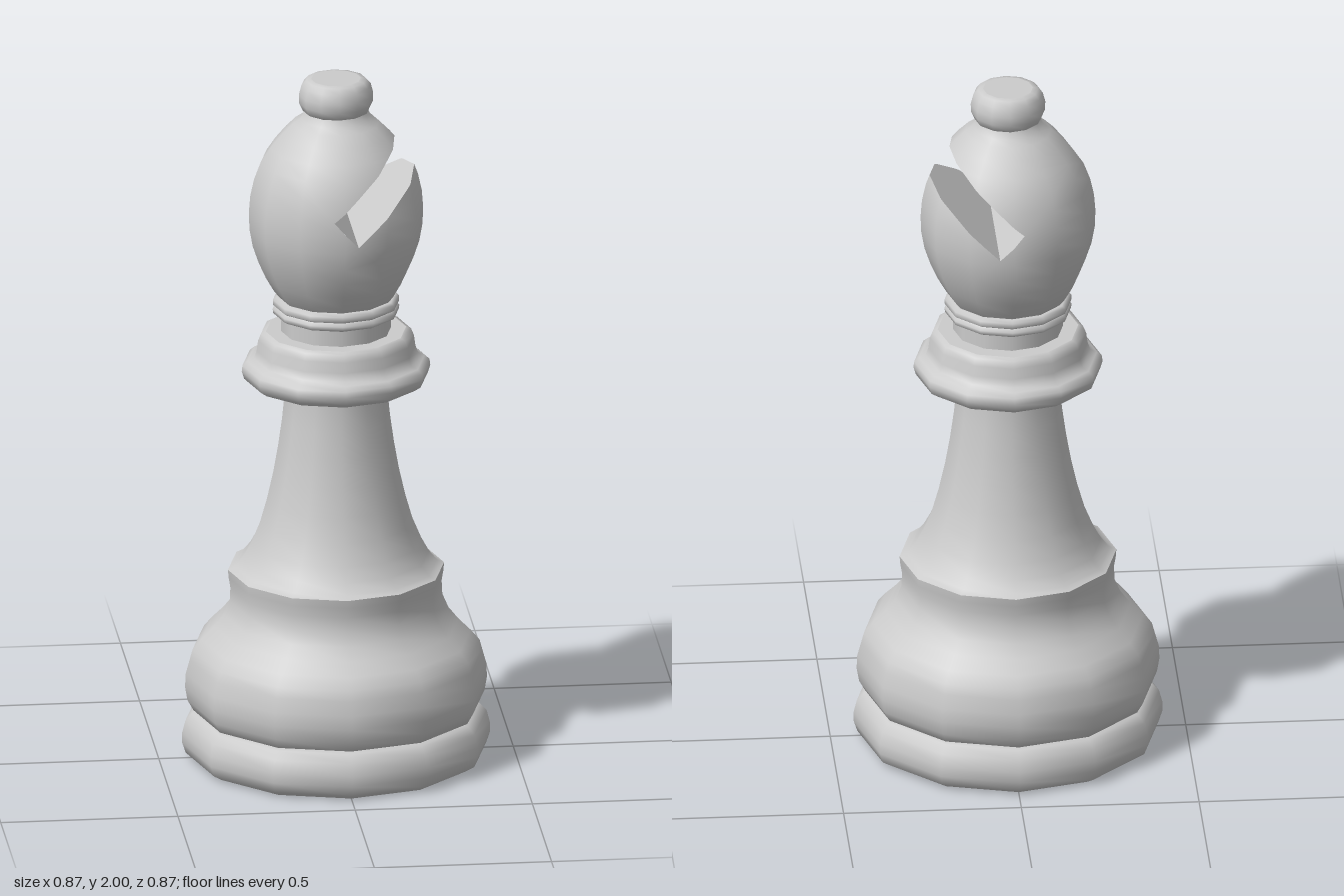
import * as THREE from 'three';

const SIDES = 12;
const material = new THREE.MeshStandardMaterial({ color: 0xcccccc });

// Profiles as [radius, height]; separate profiles meet in sharp edges.
const PARTS = {
  baseUnderside: [[0, 0], [0.4, 0]],
  baseRing: [[0.4, 0], [0.424, 0.015], [0.434, 0.045], [0.434, 0.075], [0.425, 0.11], [0.405, 0.132], [0.385, 0.135]],
  lowerBody: [[0.385, 0.135], [0.402, 0.14], [0.419, 0.17], [0.426, 0.21], [0.424, 0.25], [0.413, 0.29],
    [0.405, 0.32], [0.38, 0.35], [0.345, 0.385], [0.317, 0.42], [0.3, 0.46], [0.298, 0.5], [0.303, 0.53], [0.305, 0.553]],
  stem: [[0.305, 0.553], [0.285, 0.562], [0.262, 0.59], [0.24, 0.63], [0.215, 0.69], [0.195, 0.76], [0.177, 0.84],
    [0.163, 0.92], [0.152, 1.0], [0.146, 1.06], [0.145, 1.108]],
  collarUnderside: [[0.13, 1.105], [0.24, 1.105]],
  collarRim: [[0.24, 1.105], [0.259, 1.118], [0.266, 1.14], [0.264, 1.158], [0.25, 1.17], [0.232, 1.178],
    [0.224, 1.2], [0.22, 1.23], [0.212, 1.25], [0.198, 1.256]],
  collarTop: [[0.198, 1.256], [0.14, 1.256]],
  neck: [[0.155, 1.25], [0.155, 1.31]],
  neckRingUnderside: [[0.14, 1.305], [0.168, 1.305]],
  neckRingLower: [[0.168, 1.305], [0.177, 1.31], [0.179, 1.322], [0.17, 1.33]],
  neckRingUpper: [[0.17, 1.33], [0.178, 1.335], [0.178, 1.35], [0.168, 1.357], [0.15, 1.357]],
  finial: [[0.08, 1.898], [0.094, 1.908], [0.104, 1.93], [0.105, 1.955], [0.098, 1.982], [0.085, 1.997], [0.07, 2]],
  finialTop: [[0.07, 2], [0, 2]],
};
const HEAD = [[0.155, 1.35], [0.175, 1.375], [0.198, 1.415], [0.218, 1.46], [0.235, 1.51], [0.244, 1.56], [0.246, 1.61],
  [0.242, 1.66], [0.231, 1.71], [0.212, 1.76], [0.185, 1.8], [0.152, 1.84], [0.122, 1.87], [0.1, 1.885], [0.09, 1.905]];

// Slot frame: a runs along the cut, b across it, starting from its inner end.
const SLOT = { x: 0.005, y: 1.612, angle: THREE.MathUtils.degToRad(42), half: 0.051 };
const C = Math.cos(SLOT.angle), S = Math.sin(SLOT.angle);
const alongSlot = (p) => (p.x - SLOT.x) * C + (p.y - SLOT.y) * S;
const acrossSlot = (p) => -(p.x - SLOT.x) * S + (p.y - SLOT.y) * C;
const slotPoint = (a, b) => [SLOT.x + a * C - b * S, SLOT.y + a * S + b * C];

const lathe = (profile) =>
  new THREE.LatheGeometry(profile.map(([r, y]) => new THREE.Vector2(r, y)), SIDES);

// Split a polygon of {p, n} corners by the sign of f.
function split(poly, f) {
  const inside = [], outside = [];
  poly.forEach((u, i) => {
    const v = poly[(i + 1) % poly.length], fu = f(u.p), fv = f(v.p);
    (fu > 0 ? inside : outside).push(u);
    if ((fu > 0) !== (fv > 0)) {
      const t = fu / (fu - fv);
      const w = { p: u.p.clone().lerp(v.p, t), n: u.n.clone().lerp(v.n, t).normalize() };
      inside.push(w);
      outside.push(w);
    }
  });
  return [inside, outside];
}

// Head surface with everything inside the slot removed.
function slottedHead() {
  const source = lathe(HEAD).toNonIndexed();
  const { position, normal } = source.attributes;
  const positions = [], normals = [];
  const slotPlanes = [
    alongSlot,
    (p) => SLOT.half - acrossSlot(p),
    (p) => SLOT.half + acrossSlot(p),
  ];
  const emit = (poly) => {
    for (let i = 1; i < poly.length - 1; i++) {
      for (const { p, n } of [poly[0], poly[i], poly[i + 1]]) {
        positions.push(p.x, p.y, p.z);
        normals.push(n.x, n.y, n.z);
      }
    }
  };
  for (let i = 0; i < position.count; i += 3) {
    let rest = [0, 1, 2].map((k) => ({
      p: new THREE.Vector3().fromBufferAttribute(position, i + k),
      n: new THREE.Vector3().fromBufferAttribute(normal, i + k),
    }));
    for (const plane of slotPlanes) {
      const [inside, outside] = split(rest, plane);
      emit(outside);
      rest = inside;
    }
  }
  const g = new THREE.BufferGeometry();
  g.setAttribute('position', new THREE.Float32BufferAttribute(positions, 3));
  g.setAttribute('normal', new THREE.Float32BufferAttribute(normals, 3));
  return g;
}

// Half depth in z of the twelve-sided head at (x, y).
function headDepth(x, y) {
  const i = Math.max(1, HEAD.findIndex(([, h]) => h >= y));
  const [r0, y0] = HEAD[i - 1], [r1, y1] = HEAD[i];
  const r = THREE.MathUtils.mapLinear(y, y0, y1, r0, r1);
  if (Math.abs(x) >= r) return 0;
  const step = (2 * Math.PI) / SIDES;
  const mid = (Math.floor(Math.acos(x / r) / step) + 0.5) * step;
  return (r * Math.cos(step / 2) - x * Math.cos(mid)) / Math.sin(mid);
}

// Upper wall, inner end and lower wall of the slot as one flat-faced strip.
function slotWalls() {
  const STEPS = 40, h = SLOT.half;
  const rim = (b) => {
    let a = 0;
    while (headDepth(...slotPoint(a, b)) > 0) a += 0.0005;
    return a;
  };
  const path = [];
  for (let i = STEPS; i >= 0; i--) path.push(slotPoint((rim(h) * i) / STEPS, h));
  for (let i = 1; i < 8; i++) path.push(slotPoint(0, h - (2 * h * i) / 8));
  for (let i = 0; i <= STEPS; i++) path.push(slotPoint((rim(-h) * i) / STEPS, -h));

  const positions = [], index = [];
  path.forEach(([x, y], i) => {
    const z = headDepth(x, y);
    positions.push(x, y, -z, x, y, z);
    if (i > 0) {
      const k = 2 * i;
      index.push(k - 2, k - 1, k + 1, k - 2, k + 1, k);
    }
  });
  const g = new THREE.BufferGeometry();
  g.setAttribute('position', new THREE.Float32BufferAttribute(positions, 3));
  g.setIndex(index);
  const flat = g.toNonIndexed();
  flat.computeVertexNormals();
  return flat;
}

export function createModel() {
  const group = new THREE.Group();
  group.name = 'chessBishop';
  const add = (name, geometry) => {
    const mesh = new THREE.Mesh(geometry, material);
    mesh.name = name;
    group.add(mesh);
  };
  for (const [name, profile] of Object.entries(PARTS)) add(name, lathe(profile));
  add('head', slottedHead());
  add('headSlotWalls', slotWalls());
  return group;
}
